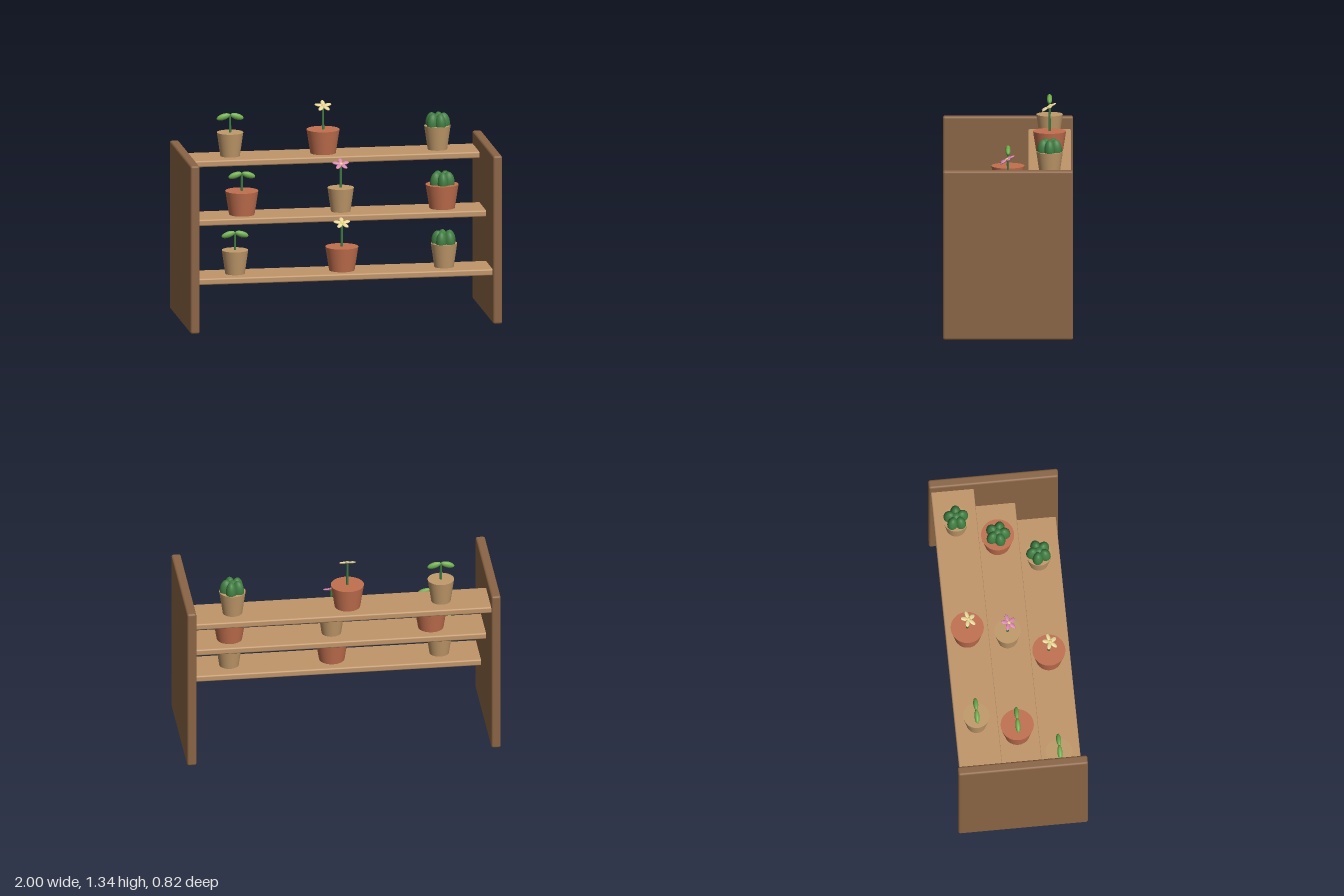
import * as THREE from 'three';
import { RoundedBoxGeometry } from 'three/addons/geometries/RoundedBoxGeometry.js';

const mat = (name, color) => {
  const m = new THREE.MeshStandardMaterial({ color });
  m.name = name;
  return m;
};

export function createModel() {
  const darkWood = mat('dark wood', 0x8b6545);
  const lightWood = mat('light wood', 0xc1966a);
  const terracotta = mat('terracotta', 0xc2704f);
  const sandClay = mat('sand clay', 0xc19a6b);
  const leafGreen = mat('leaf green', 0x6fae4e);
  const stemGreen = mat('stem green', 0x3f7a42);
  const cactusGreen = mat('cactus green', 0x3f7d41);
  const cream = mat('cream petal', 0xe8d79a);
  const pink = mat('pink petal', 0xd987b0);
  const yellow = mat('flower centre', 0xe6cf78);

  const root = new THREE.Group();
  root.name = 'plantStand';

  const add = (parent, name, geometry, material, x = 0, y = 0, z = 0) => {
    const mesh = new THREE.Mesh(geometry, material);
    mesh.name = name;
    mesh.position.set(x, y, z);
    parent.add(mesh);
    return mesh;
  };
  const ellipsoid = (a, b, c) => new THREE.SphereGeometry(1, 20, 14).scale(a, b, c);

  // Side panels
  for (const s of [-1, 1]) {
    add(root, s > 0 ? 'leftPanel' : 'rightPanel',
      new RoundedBoxGeometry(0.06, 1.086, 0.824, 3, 0.014), darkWood, s * 0.97, 0.543, 0);
  }

  const POT_H = 0.152;

  // Stem with a pair of drooping leaves
  function sprout(parent) {
    add(parent, 'stem', new THREE.CylinderGeometry(0.007, 0.008, 0.11, 12), stemGreen, 0, POT_H + 0.05, 0);
    for (const s of [-1, 1]) {
      const leaf = add(parent, 'leaf', ellipsoid(0.045, 0.02, 0.016), leafGreen, s * 0.043, 0.252, 0);
      leaf.rotation.z = -s * 0.3;
    }
  }

  // Stem with a five-petal flower tipped toward the front
  function flower(parent, petalMaterial) {
    add(parent, 'stem', new THREE.CylinderGeometry(0.007, 0.008, 0.155, 12), stemGreen, 0, POT_H + 0.075, 0);
    const head = new THREE.Group();
    head.name = 'flowerHead';
    head.position.set(0, 0.304, 0.008);
    head.rotation.x = 0.49;
    parent.add(head);
    for (let i = 0; i < 5; i++) {
      const a = Math.PI / 2 + (i * Math.PI * 2) / 5;
      const petal = add(head, 'petal', ellipsoid(0.026, 0.007, 0.014), petalMaterial,
        Math.cos(a) * 0.03, 0, -Math.sin(a) * 0.03);
      petal.rotation.y = a;
    }
    add(head, 'flowerCentre', ellipsoid(0.013, 0.01, 0.013), yellow);
  }

  // Cactus made of a ring of lobes around a core
  function cactus(parent, turn) {
    add(parent, 'cactusCore', ellipsoid(0.045, 0.07, 0.045), cactusGreen, 0, POT_H + 0.005, 0);
    for (let i = 0; i < 5; i++) {
      const a = turn + (i * Math.PI * 2) / 5;
      const lobe = add(parent, 'cactusLobe', ellipsoid(0.041, 0.07, 0.034), cactusGreen,
        Math.cos(a) * 0.04, POT_H + 0.011, -Math.sin(a) * 0.04);
      lobe.rotation.y = a;
    }
  }

  function pot(name, x, y, z, large) {
    const group = new THREE.Group();
    group.name = name;
    group.position.set(x, y, z);
    root.add(group);
    const [top, base] = large ? [0.105, 0.081] : [0.084, 0.062];
    add(group, 'pot', new THREE.CylinderGeometry(top, base, POT_H, 40),
      large ? terracotta : sandClay, 0, POT_H / 2, 0);
    return group;
  }

  // Stepped shelves, each with a sprout, a flower and a cactus
  const shelves = [
    { y: 0.353, z: 0.259, xs: [-0.69, -0.005, 0.65], large: [false, true, false], petal: cream, turn: 0.4 },
    { y: 0.68, z: 0, xs: [-0.604, 0.03, 0.68], large: [true, false, true], petal: pink, turn: 0.9 },
    { y: 1.005, z: -0.263, xs: [-0.636, -0.04, 0.693], large: [false, true, false], petal: cream, turn: 0 },
  ];
  for (const { y, z, xs, large, petal, turn } of shelves) {
    add(root, 'shelf', new RoundedBoxGeometry(1.9, 0.042, 0.274, 3, 0.01), lightWood, 0, y - 0.021, z);
    sprout(pot('sproutPot', xs[0], y, z, large[0]));
    flower(pot('flowerPot', xs[1], y, z, large[1]), petal);
    cactus(pot('cactusPot', xs[2], y, z, large[2]), turn);
  }

  return root;
}
